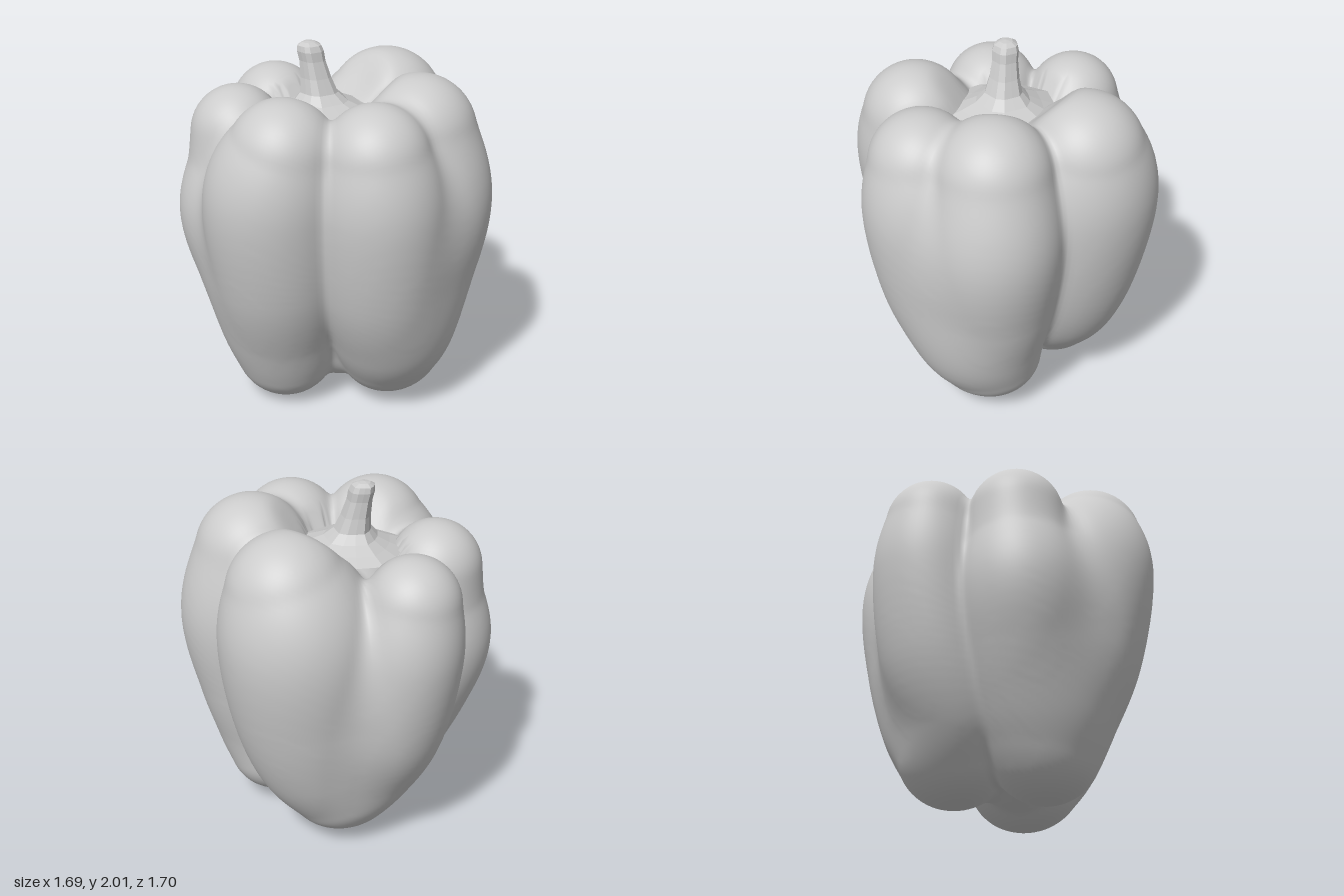
import * as THREE from 'three';
import { mergeVertices } from 'three/addons/utils/BufferGeometryUtils.js';

// Lobes grow in pairs that melt together. Each is a chain of balls [x, y, z, radius] from shoulder to tip
const LOBE_GROUPS = [
  [ // front and right
    [[-0.1, 1.54, 0.5, 0.29], [-0.16, 1.28, 0.47, 0.38], [-0.17, 0.85, 0.41, 0.365], [-0.2, 0.5, 0.32, 0.32], [-0.21, 0.27, 0.27, 0.26]],
    [[-0.525, 1.5, 0.17, 0.255], [-0.52, 1.3, 0.18, 0.28], [-0.52, 1.06, 0.2, 0.325], [-0.44, 0.8, 0.2, 0.325], [-0.34, 0.5, 0.2, 0.285], [-0.23, 0.3, 0.22, 0.24]],
  ],
  [ // front left and left
    [[0.35, 1.53, 0.35, 0.285], [0.36, 1.25, 0.32, 0.355], [0.35, 0.82, 0.26, 0.345], [0.34, 0.5, 0.16, 0.31], [0.31, 0.31, 0.1, 0.25]],
    [[0.44, 1.56, -0.04, 0.31], [0.48, 1.2, -0.05, 0.365], [0.43, 0.8, -0.03, 0.345], [0.38, 0.5, 0, 0.315], [0.35, 0.31, -0.03, 0.255]],
  ],
  [ // back and back right
    [[0.1, 1.54, -0.45, 0.325], [0.05, 1.28, -0.42, 0.43], [0.03, 0.9, -0.38, 0.415], [-0.01, 0.58, -0.34, 0.36], [-0.1, 0.33, -0.29, 0.28]],
    [[-0.52, 1.5, -0.3, 0.25], [-0.49, 1.22, -0.31, 0.305], [-0.4, 0.8, -0.27, 0.32], [-0.3, 0.5, -0.2, 0.29], [-0.2, 0.31, -0.17, 0.24]],
  ],
  [ // core
    [[0, 1.15, 0, 0.45], [0, 0.8, 0, 0.42], [0, 0.5, 0, 0.34], [0.03, 0.31, 0.04, 0.25]],
  ],
];

// Smooth curve through the balls of one lobe
function ballChain(balls) {
  const path = new THREE.CatmullRomCurve3(balls.map(b => new THREE.Vector3(b[0], b[1], b[2])), false, 'catmullrom');
  const size = new THREE.CatmullRomCurve3(balls.map(b => new THREE.Vector3(b[3], 0, 0)), false, 'catmullrom');
  const out = [];
  for (let i = 0; i <= 70; i++) {
    const p = path.getPoint(i / 70);
    out.push([p.x, p.y, p.z, size.getPoint(i / 70).x]);
  }
  return out;
}

function smoothMin(a, b, k) {
  const h = Math.max(k - Math.abs(a - b), 0) / k;
  return Math.min(a, b) - h * h * k * 0.25;
}

function createBody() {
  const groups = LOBE_GROUPS.map(group => group.map(ballChain));

  // Distance to the blended lobes, with a cup hollowed out under the stem
  const distance = (x, y, z) => {
    const pairBlend = THREE.MathUtils.lerp(0.17, 0.06, THREE.MathUtils.smoothstep(y, 0.9, 1.7));
    let body = 10;
    for (const chains of groups) {
      let pair = 10;
      for (const chain of chains) {
        let lobe = 10;
        for (const [cx, cy, cz, r] of chain) {
          lobe = Math.min(lobe, Math.sqrt((x - cx) ** 2 + (y - cy) ** 2 + (z - cz) ** 2) - r);
        }
        pair = smoothMin(pair, lobe, pairBlend);
      }
      body = smoothMin(body, pair, 0.045);
    }
    const cup = Math.hypot(x + 0.08, y - 2.0, z) - 0.39;
    return -smoothMin(-body, cup, 0.07);
  };

  // Shrink a sphere inwards along its rays until it meets the lobes
  const sphere = new THREE.SphereGeometry(1, 180, 130);
  sphere.deleteAttribute('uv');
  sphere.deleteAttribute('normal');
  const geometry = mergeVertices(sphere, 1e-5);
  const pos = geometry.attributes.position;
  const dir = new THREE.Vector3();
  const centre = new THREE.Vector3(-0.04, 0.85, 0);
  for (let i = 0; i < pos.count; i++) {
    dir.fromBufferAttribute(pos, i).normalize();
    let t = 1.3;
    for (let s = 0; s < 60; s++) {
      const d = distance(centre.x + dir.x * t, centre.y + dir.y * t, centre.z + dir.z * t);
      if (d < 0.0005) break;
      t -= d;
    }
    dir.multiplyScalar(t).add(centre);
    pos.setXYZ(i, dir.x, dir.y, dir.z);
  }
  geometry.computeVertexNormals();
  return geometry;
}

function createStem() {
  // Flared foot, slim neck and a slightly wider cut end
  const profile = [[0.3, 1.62], [0.22, 1.65], [0.145, 1.685], [0.1, 1.73], [0.08, 1.81], [0.068, 1.9],
    [0.07, 1.95], [0.062, 1.98], [0.035, 1.995], [0, 2.0]];
  const geometry = new THREE.LatheGeometry(profile.map(p => new THREE.Vector2(...p)), 14);
  const pos = geometry.attributes.position;
  for (let i = 0; i < pos.count; i++) {
    // Lean sideways towards the tip, with shallow ribs
    const y = pos.getY(i);
    const rib = 1 + 0.06 * Math.cos(5 * Math.atan2(pos.getZ(i), pos.getX(i)));
    pos.setX(i, pos.getX(i) * rib - 0.09 - (y - 1.65) * 0.22);
    pos.setZ(i, pos.getZ(i) * rib + 0.015);
  }
  geometry.computeVertexNormals();
  return geometry;
}

export function createModel() {
  const group = new THREE.Group();
  group.name = 'bellPepper';
  const add = (name, geometry, options = {}) => {
    const mesh = new THREE.Mesh(geometry, new THREE.MeshStandardMaterial({ color: 0xcccccc, ...options }));
    mesh.name = name;
    group.add(mesh);
  };
  add('lobedBody', createBody());
  add('stem', createStem(), { flatShading: true, side: THREE.DoubleSide });
  return group;
}
